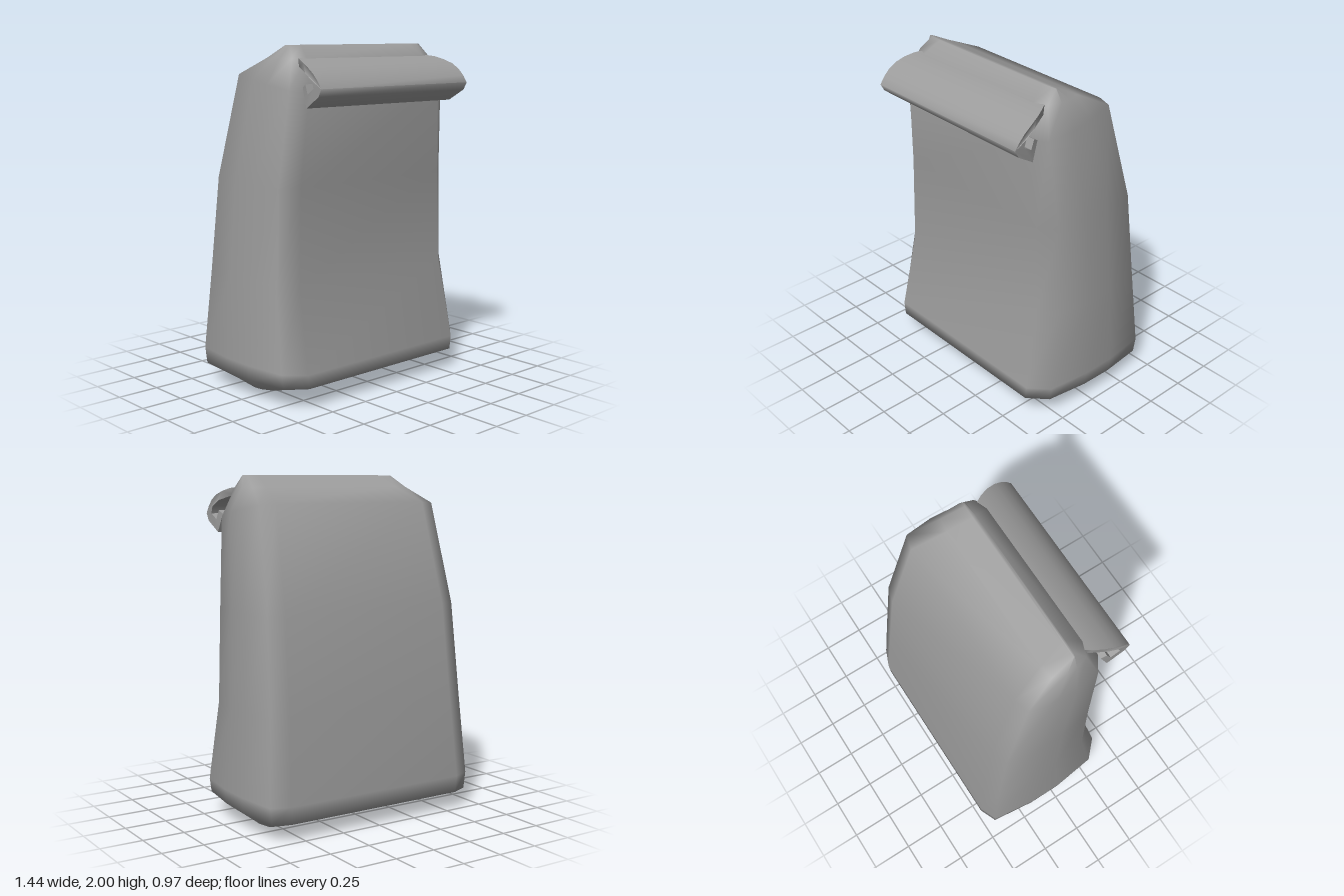
import * as THREE from 'three';
import { toCreasedNormals } from 'three/addons/utils/BufferGeometryUtils.js';

const material = new THREE.MeshStandardMaterial({ color: 0x9c9c9c, side: THREE.DoubleSide });

// Left half of the chamfered cross-section, front to back: [x fraction, z fraction]
const half = [[0.81, 1], [0.955, 0.77], [1, 0.18], [1, -0.29], [0.955, -0.9], [0.81, -1]];
const outline = [...half, ...[...half].reverse().map(([x, z]) => [-x, z])];

// Sack levels: [half width, front z, front y, back z, back y]
const levels = [
  [0.575, 0.06, 0.015, -0.20, 0.0],
  [0.71, 0.39, 0.12, -0.48, 0.10],
  [0.722, 0.39, 0.20, -0.483, 0.20],
  [0.69, 0.295, 0.68, -0.435, 0.68],
  [0.67, 0.29, 1.23, -0.37, 1.24],
  [0.625, 0.32, 1.75, -0.21, 1.84],
  [0.56, 0.24, 1.93, -0.015, 1.93],
  [0.52, 0.15, 2.0, 0.13, 2.0],
];

// Skin the tilted cross-sections with smooth shading and close both ends
function loft() {
  const n = outline.length, pos = [], idx = [];
  for (const [w, zf, yf, zb, yb] of levels) {
    for (const [fx, fz] of outline) {
      const t = (fz + 1) / 2;
      pos.push(w * fx, yb + (yf - yb) * t, zb + (zf - zb) * t);
    }
  }
  for (let i = 0; i < levels.length - 1; i++) {
    for (let j = 0; j < n; j++) {
      const a = i * n + j, b = i * n + (j + 1) % n;
      idx.push(a, b, b + n, a, b + n, a + n);
    }
  }
  const top = (levels.length - 1) * n;
  for (let j = 1; j < n - 1; j++) {
    idx.push(0, j + 1, j);
    idx.push(top, top + j, top + j + 1);
  }
  const g = new THREE.BufferGeometry();
  g.setAttribute('position', new THREE.Float32BufferAttribute(pos, 3));
  g.setIndex(idx);
  g.computeVertexNormals();
  return g;
}

// Folded-over strip: a hooked profile (z, y) swept across the width
function rolledFlap() {
  const shape = new THREE.Shape([
    [0.195, 1.935], [0.26, 1.925], [0.316, 1.907], [0.37, 1.884], [0.416, 1.854],
    [0.455, 1.815], [0.483, 1.775], [0.459, 1.732], [0.353, 1.667], [0.31, 1.775],
    [0.342, 1.795], [0.367, 1.743], [0.42, 1.775], [0.406, 1.817], [0.342, 1.854],
    [0.24, 1.885],
  ].map(([z, y]) => new THREE.Vector2(z, y)));
  const width = 1.145;
  const g = new THREE.ExtrudeGeometry(shape, { depth: width, bevelEnabled: false });
  g.rotateY(-Math.PI / 2).translate(width / 2, 0, 0);
  // The strip narrows in a curve where it meets the sack
  const p = g.attributes.position;
  for (let i = 0; i < p.count; i++) {
    const near = Math.max(0, 0.42 - p.getZ(i));
    p.setX(i, p.getX(i) * (1 - 2.8 * near * near) + 0.01);
  }
  return toCreasedNormals(g, 1.3);
}

export function createModel() {
  const model = new THREE.Group();
  model.name = 'sack';
  const add = (name, geometry) => {
    const mesh = new THREE.Mesh(geometry, material);
    mesh.name = name;
    model.add(mesh);
  };
  add('sackBody', loft());
  add('rolledFlap', rolledFlap());
  return model;
}
